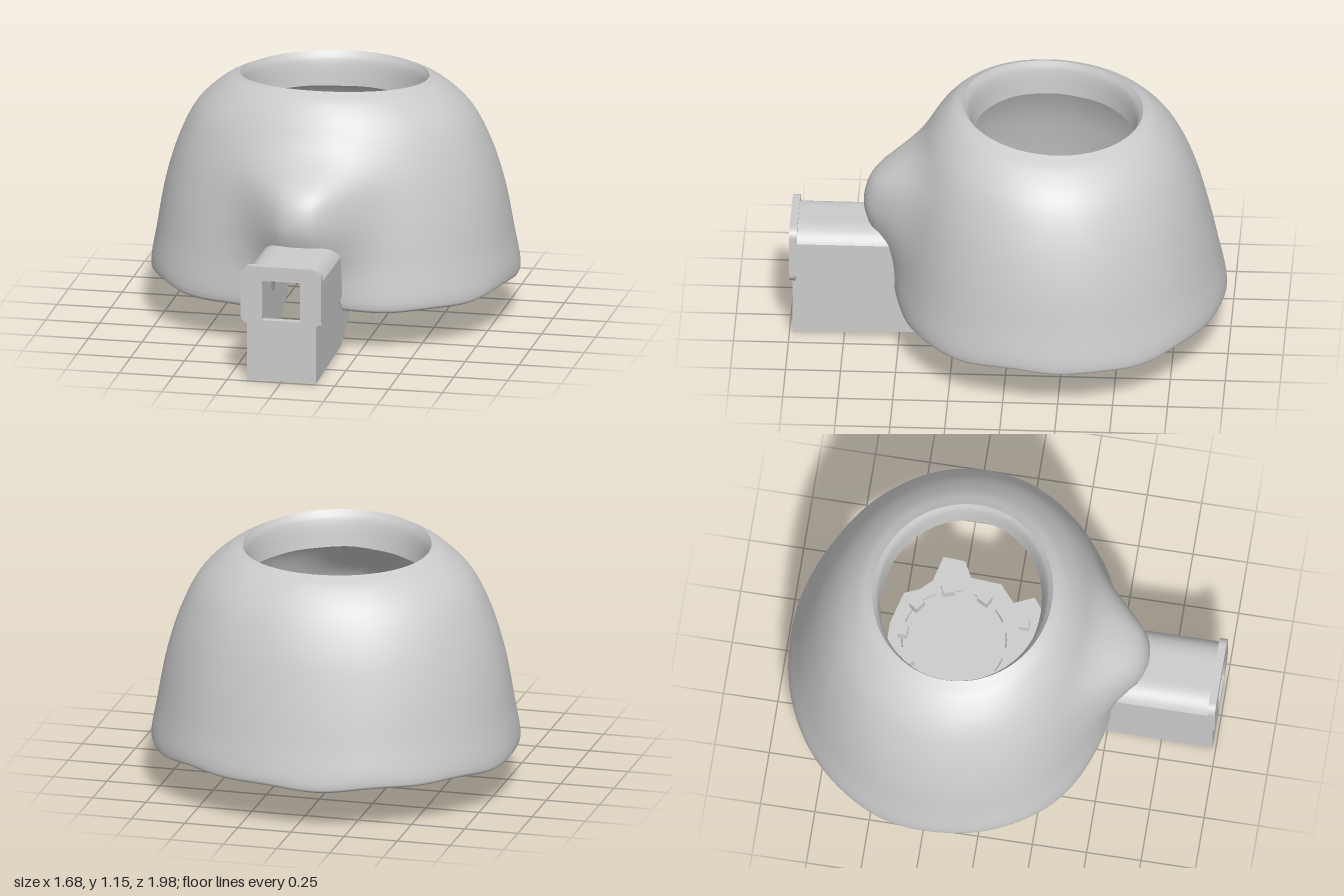
import * as THREE from 'three';
import { RoundedBoxGeometry } from 'three/addons/geometries/RoundedBoxGeometry.js';

const material = new THREE.MeshStandardMaterial({ color: 0xcccccc, side: THREE.DoubleSide });
const V = (x, y, z) => new THREE.Vector3(x, y, z);

function add(parent, name, geometry, x = 0, y = 0, z = 0) {
  const mesh = new THREE.Mesh(geometry, material);
  mesh.name = name;
  mesh.position.set(x, y, z);
  parent.add(mesh);
  return mesh;
}

function polygon(points) {
  return new THREE.Shape(points.map(([x, y]) => new THREE.Vector2(x, y)));
}

function extrude(shape, depth) {
  return new THREE.ExtrudeGeometry(shape, { depth, bevelEnabled: false, curveSegments: 10 });
}

// Rounded nose bulge: steeper above its centre than below
function noseBulge(x, y) {
  const d = y - 0.66;
  const fall = d > 0 ? Math.pow(d / 0.2, 3) : Math.pow(d / 0.25, 2);
  return Math.exp(-Math.pow(Math.abs(x) / 0.24, 2.4) - fall);
}

// Sweeps a profile of (x radius, z radius, height) around the shell, with nose bulge and arm notch
function shellSurface(profile, steps, bulge) {
  const N = 144;
  const rows = profile.length > 2
    ? new THREE.CatmullRomCurve3(profile, false, 'centripetal').getPoints(steps)
    : profile;
  const positions = [], index = [];
  rows.forEach((p, i) => {
    for (let j = 0; j < N; j++) {
      const a = (j / N) * Math.PI * 2, c = Math.cos(a);
      const fromFront = Math.min(a, Math.PI * 2 - a);
      const t = (p.z - 0.2) / 0.93, low = Math.max(0, 1 - t);
      const notch = 0.24 * (1 - THREE.MathUtils.smoothstep(fromFront, 0.13, 0.21));
      const wave = 0.008 * Math.sin(5 * a + 1) + 0.005 * Math.sin(11 * a);
      const tilt = 0.05 * Math.pow((1 + c) / 2, 2) - 0.025;
      const y = p.z + wave * low + notch * Math.pow(low, 3) + tilt * t;
      // Fuller cheeks on the front diagonals
      const full = c > 0 ? 1 + 0.04 * low * Math.pow(Math.sin(2 * a), 2) : 1;
      const x = p.x * Math.sin(a) * full;
      let z = -0.23 + 0.04 * t + p.y * c * full;
      if (c > 0) z += bulge * noseBulge(x, y);
      positions.push(x, y, z);
      if (i < rows.length - 1) {
        const k = (j + 1) % N, u = i * N, v = u + N;
        index.push(u + j, u + k, v + k, u + j, v + k, v + j);
      }
    }
  });
  const g = new THREE.BufferGeometry();
  g.setAttribute('position', new THREE.Float32BufferAttribute(positions, 3));
  g.setIndex(index);
  g.computeVertexNormals();
  return g;
}

function createShell() {
  const shell = new THREE.Group();
  shell.name = 'shell';
  const outer = [
    V(0.82, 0.73, 0.195), V(0.838, 0.75, 0.21), V(0.812, 0.725, 0.4), V(0.772, 0.685, 0.62),
    V(0.71, 0.635, 0.82), V(0.628, 0.565, 0.98), V(0.51, 0.475, 1.09), V(0.43, 0.41, 1.13),
  ];
  const collar = [V(0.43, 0.41, 1.13), V(0.416, 0.385, 1.09), V(0.407, 0.365, 0.97)];
  const inner = [
    V(0.407, 0.365, 0.97), V(0.56, 0.5, 0.93), V(0.665, 0.595, 0.75),
    V(0.735, 0.655, 0.5), V(0.79, 0.705, 0.195),
  ];
  add(shell, 'outerShell', shellSurface(outer, 40, 0.19));
  add(shell, 'openingCollar', shellSurface(collar, 8, 0));
  add(shell, 'innerShell', shellSurface(inner, 24, 0.17));
  add(shell, 'bottomEdge', shellSurface([inner[4], outer[0]], 1, 0.18));
  return shell;
}

function createHub() {
  const hub = new THREE.Group();
  hub.name = 'hub';

  // Lobed outline, given as (x, z) for one half from the channel round to the back
  const half = [
    [0.16, 0.18], [0.26, 0.1], [0.22, 0.01], [0.3, -0.06], [0.31, -0.2], [0.385, -0.24],
    [0.39, -0.34], [0.27, -0.37], [0.22, -0.42], [0.19, -0.49], [0.04, -0.53],
  ];
  const outline = [...half, ...half.map(([x, z]) => [-x, z]).reverse()].map(([x, z]) => [x, -z]);
  const inset = outline.map(([x, y]) => [x * 0.94, 0.18 + (y - 0.18) * 0.94]);

  // Top plate with a ring of arc slots
  const plate = polygon(outline);
  for (let i = 0; i < 12; i++) {
    const a = (i / 12) * Math.PI * 2, slot = new THREE.Path();
    slot.absarc(0, 0.23, 0.24, a, a + 0.3, false);
    slot.absarc(0, 0.23, 0.234, a + 0.3, a, true);
    slot.closePath();
    plate.holes.push(slot);
  }
  add(hub, 'hubPlate', extrude(plate, 0.02).rotateX(-Math.PI / 2), 0, 0.45, 0);

  // Skirt wall, left open toward the arm
  const skirt = polygon([...outline, ...inset.reverse()]);
  add(hub, 'hubSkirt', extrude(skirt, 0.28).rotateX(-Math.PI / 2), 0, 0.17, 0);

  // Clips around the ring
  for (const a of [0, 0.62, -0.62, 1.3, -1.3, 2.05, -2.05]) {
    const clip = add(hub, 'clip', new THREE.BoxGeometry(0.055, 0.06, 0.045),
      0.235 * Math.sin(a), 0.49, -0.23 - 0.235 * Math.cos(a));
    clip.rotation.y = -a;
  }
  for (const side of [-1, 1]) {
    add(hub, 'post', new THREE.BoxGeometry(0.045, 0.04, 0.045), side * 0.12, 0.48, 0.075);
    add(hub, 'sideTab', new RoundedBoxGeometry(0.03, 0.16, 0.09, 2, 0.012), side * 0.2, 0.27, 0.24);
  }
  return hub;
}

function createArm() {
  const arm = new THREE.Group();
  arm.name = 'arm';

  // Lower channel, open underneath
  const side = polygon([[0.985, 0], [0.43, 0.02], [0.16, 0.17], [0.16, 0.45], [0.985, 0.45]]);
  for (const x of [-0.145, 0.16]) {
    add(arm, 'channelWall', extrude(side, 0.015).rotateY(-Math.PI / 2), x, 0, 0);
  }
  add(arm, 'channelFront', new THREE.BoxGeometry(0.32, 0.28, 0.015), 0, 0.142, 0.978);

  // Upper cover with an arched top
  const cover = new THREE.Shape();
  cover.moveTo(-0.182, 0.275);
  cover.lineTo(-0.182, 0.475);
  cover.quadraticCurveTo(-0.15, 0.537, -0.07, 0.537);
  cover.lineTo(0.07, 0.537);
  cover.quadraticCurveTo(0.15, 0.537, 0.182, 0.475);
  cover.lineTo(0.182, 0.275);
  cover.lineTo(0.158, 0.275);
  cover.lineTo(0.158, 0.465);
  cover.quadraticCurveTo(0.13, 0.515, 0.07, 0.515);
  cover.lineTo(-0.07, 0.515);
  cover.quadraticCurveTo(-0.13, 0.515, -0.158, 0.465);
  cover.lineTo(-0.158, 0.275);
  cover.closePath();
  add(arm, 'armCover', extrude(cover, 0.8), 0, 0, 0.17);

  // Rounded front plate with a square window
  const w = 0.187, b = 0.27, t = 0.545, r = 0.045;
  const plate = new THREE.Shape();
  plate.absarc(w - r, t - r, r, 0, Math.PI / 2);
  plate.absarc(-w + r, t - r, r, Math.PI / 2, Math.PI);
  plate.absarc(-w + r, b + r, r, Math.PI, Math.PI * 1.5);
  plate.absarc(w - r, b + r, r, Math.PI * 1.5, Math.PI * 2);
  plate.holes.push(polygon([[-0.088, 0.292], [-0.088, 0.478], [0.088, 0.478], [0.088, 0.292]]));
  add(arm, 'frontPlate', extrude(plate, 0.035), 0, 0, 0.965);
  return arm;
}

export function createModel() {
  const model = new THREE.Group();
  model.name = 'hollowDomeWithArm';
  model.add(createShell(), createHub(), createArm());
  return model;
}
